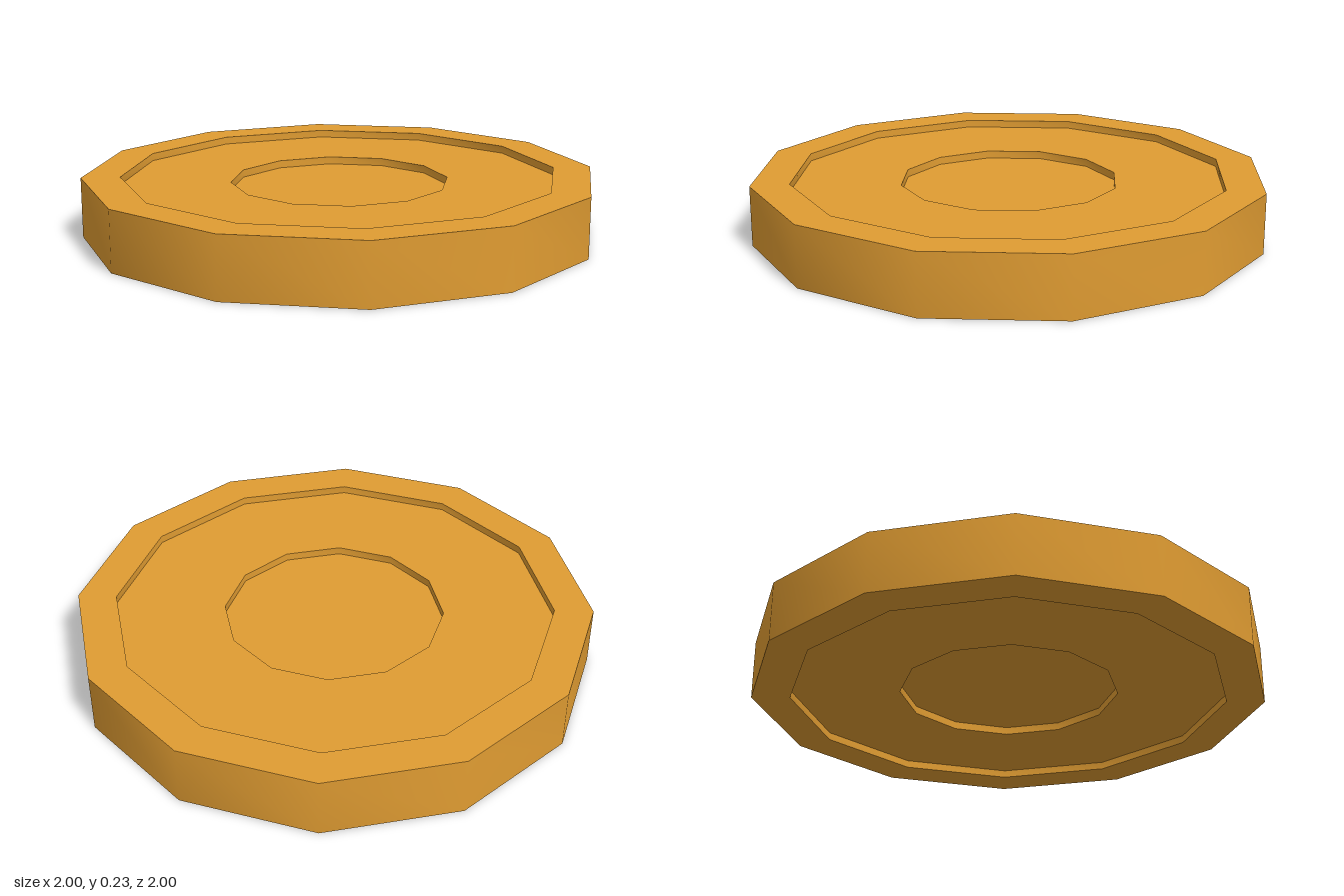
import * as THREE from 'three';
import { toCreasedNormals } from 'three/addons/utils/BufferGeometryUtils.js';

const SIDES = 12, HEIGHT = 0.235, STEP = 0.03;
const R_OUTER = 1, R_FIELD = 0.85, R_CENTRE = 0.425;

export function createModel() {
  const coin = new THREE.Group();
  coin.name = 'coin';
  const gold = new THREE.MeshStandardMaterial({ color: 0xe09c32 });
  gold.name = 'gold';

  // Twelve-sided turned part; profile runs [radius, y] from bottom to top
  function turned(name, profile) {
    const points = profile.map(([r, y]) => new THREE.Vector2(r, y));
    const geometry = toCreasedNormals(new THREE.LatheGeometry(points, SIDES), 0.7);
    const mesh = new THREE.Mesh(geometry, gold);
    mesh.name = name;
    coin.add(mesh);
  }

  // Raised rim with its inner lips on both faces
  turned('rim', [
    [R_FIELD, STEP], [R_FIELD, 0], [R_OUTER, 0],
    [R_OUTER, HEIGHT], [R_FIELD, HEIGHT], [R_FIELD, HEIGHT - STEP],
  ]);

  // Each face: sunken field, then a deeper centre recess
  const face = [[0, 2 * STEP], [R_CENTRE, 2 * STEP], [R_CENTRE, STEP], [R_FIELD, STEP]];
  turned('bottomFace', face);
  turned('topFace', face.map(([r, y]) => [r, HEIGHT - y]).reverse());

  return coin;
}
